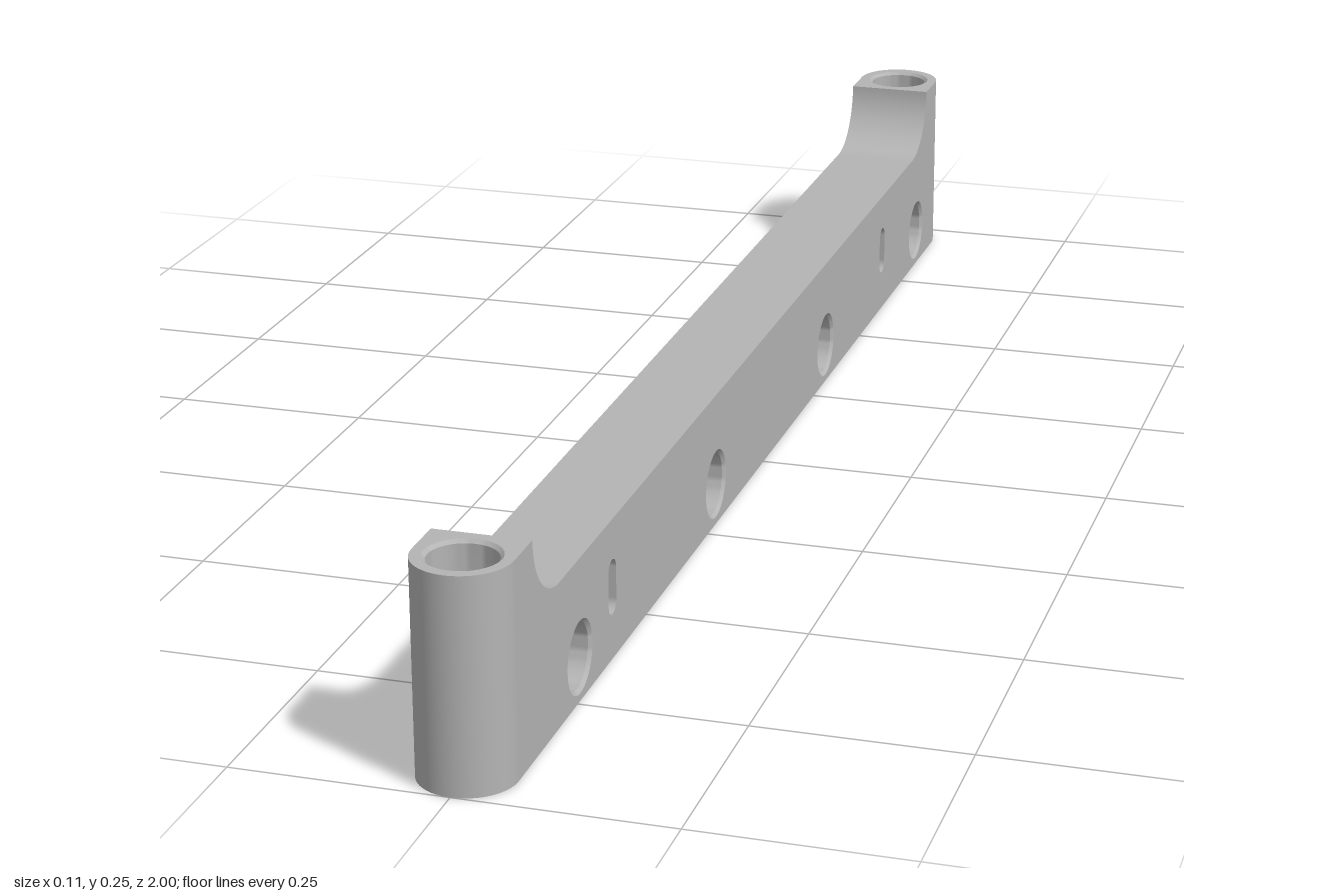
import * as THREE from 'three';
import { toCreasedNormals } from 'three/addons/utils/BufferGeometryUtils.js';

const W = 0.056;        // half width, also radius of the rounded ends
const H = 0.25;         // post height
const BEAM = 0.168;     // beam height
const FILLET = H - BEAM;
const POST_Z = 1 - W;   // post axis
const STEP_Z = 0.888;   // inner edge of the post top
const BORE_R = 0.043, CHAMFER = 0.004, BORE_DEPTH = 0.09, PIN_R = 0.011;
const BORE_Y = 0.052;
const BORES_Z = [0.74, 0.215, -0.31, -0.835];
const SLOT = { z: 0.625, y: 0.087, r: 0.014, half: 0.019 };

// Upper outline of one half, from mid-length to the post, as (z, y)
function topProfile() {
  const pts = [new THREE.Vector2(0, BEAM), new THREE.Vector2(STEP_Z - FILLET - 0.01, BEAM)];
  for (let i = 0; i <= 20; i++) {
    const a = (i / 20) * Math.PI / 2;
    pts.push(new THREE.Vector2(STEP_Z - FILLET + Math.sin(a) * FILLET, H - Math.cos(a) * FILLET));
  }
  return pts;
}

function circle(x, y, r) {
  return new THREE.Path().absarc(x, y, r, 0, Math.PI * 2, true);
}

function slotPath(x) {
  const { y, r, half } = SLOT;
  const p = new THREE.Path();
  p.absarc(x, y + half, r, 0, Math.PI, false);
  p.absarc(x, y - half, r, Math.PI, Math.PI * 2, false);
  p.closePath();
  return p;
}

// Ribbon that follows (z, y) points across the full width
function ribbon(points) {
  const geo = new THREE.PlaneGeometry(2 * W, 1, 1, points.length - 1);
  const pos = geo.attributes.position;
  for (let i = 0; i < pos.count; i++) {
    const p = points[Math.floor(i / 2)];
    pos.setXYZ(i, i % 2 ? -W : W, p.y, p.x);
  }
  geo.computeVertexNormals();
  return geo;
}

function lathe(points) {
  const geo = new THREE.LatheGeometry(points.map(([r, y]) => new THREE.Vector2(r, y)), 40);
  return toCreasedNormals(geo, 0.6);
}

export function createModel() {
  const model = new THREE.Group();
  model.name = 'mountingBar';
  const grey = new THREE.MeshStandardMaterial({ color: 0xb4b4b4, side: THREE.DoubleSide });
  grey.name = 'grey';

  const add = (parent, name, geo) => {
    const mesh = new THREE.Mesh(geo, grey);
    mesh.name = name;
    parent.add(mesh);
    return mesh;
  };

  // The bar repeats after half a turn about y
  for (let k = 0; k < 2; k++) {
    const half = new THREE.Group();
    half.name = k ? 'backHalf' : 'frontHalf';
    half.rotation.y = k * Math.PI;
    model.add(half);
    const profile = topProfile();

    // Long side wall with bores and slots (shape x is -z)
    const outline = [
      [-POST_Z, 0], [POST_Z, 0], [POST_Z, H],
      ...[...profile].reverse().map(p => [p.x, p.y]),
      ...profile.slice(1).map(p => [-p.x, p.y]),
      [-POST_Z, H],
    ].map(([x, y]) => new THREE.Vector2(x, y));
    const wall = new THREE.Shape(outline);
    BORES_Z.forEach(z => wall.holes.push(circle(-z, BORE_Y, BORE_R)));
    wall.holes.push(slotPath(-SLOT.z), slotPath(SLOT.z));
    add(half, 'sideWall', new THREE.ShapeGeometry(wall, 20).rotateY(Math.PI / 2).translate(W, 0, 0));

    // Blind bores in the side wall
    const bore = lathe([
      [BORE_R, 0], [BORE_R - CHAMFER, -CHAMFER],
      [BORE_R - CHAMFER, -BORE_DEPTH], [0, -BORE_DEPTH],
    ]).rotateZ(-Math.PI / 2);
    BORES_Z.forEach(z => add(half, 'sideBore', bore).position.set(W, BORE_Y, z));

    // Beam top running up into the post
    add(half, 'beamTop', ribbon(profile));

    // Rounded end wall
    add(half, 'roundedEnd',
      new THREE.CylinderGeometry(W, W, H, 32, 1, true, -Math.PI / 2, Math.PI).translate(0, H / 2, POST_Z));

    // Post top face around its bore (shape y is -z)
    const cap = new THREE.Shape();
    cap.moveTo(W, -STEP_Z);
    cap.lineTo(-W, -STEP_Z);
    cap.absarc(0, -POST_Z, W, Math.PI, Math.PI * 2, false);
    cap.holes.push(circle(0, -POST_Z, BORE_R));
    add(half, 'postTop', new THREE.ShapeGeometry(cap, 20).rotateX(-Math.PI / 2).translate(0, H, 0));

    // Post bore: wide at both mouths, joined by a narrow pin hole
    const r = BORE_R - CHAMFER;
    add(half, 'postBore', lathe([
      [BORE_R, H], [r, H - CHAMFER], [r, H - BORE_DEPTH], [PIN_R, H - BORE_DEPTH],
      [PIN_R, BORE_DEPTH], [r, BORE_DEPTH], [r, CHAMFER], [BORE_R, 0],
    ])).position.z = POST_Z;

    // Lining of the slot that passes through the beam
    const ring = slotPath(0).getPoints(12);
    const lining = new THREE.PlaneGeometry(1, 1, ring.length - 1, 1);
    const pos = lining.attributes.position;
    for (let i = 0; i < pos.count; i++) {
      const p = ring[i % ring.length];
      pos.setXYZ(i, i < ring.length ? W : -W, p.y, p.x + SLOT.z);
    }
    lining.computeVertexNormals();
    add(half, 'slotLining', lining);
  }

  // Underside with both post bores
  const base = new THREE.Shape();
  base.absarc(0, POST_Z, W, 0, Math.PI, false);
  base.absarc(0, -POST_Z, W, Math.PI, Math.PI * 2, false);
  base.holes.push(circle(0, POST_Z, BORE_R), circle(0, -POST_Z, BORE_R));
  add(model, 'underside', new THREE.ShapeGeometry(base, 20).rotateX(Math.PI / 2));

  return model;
}
